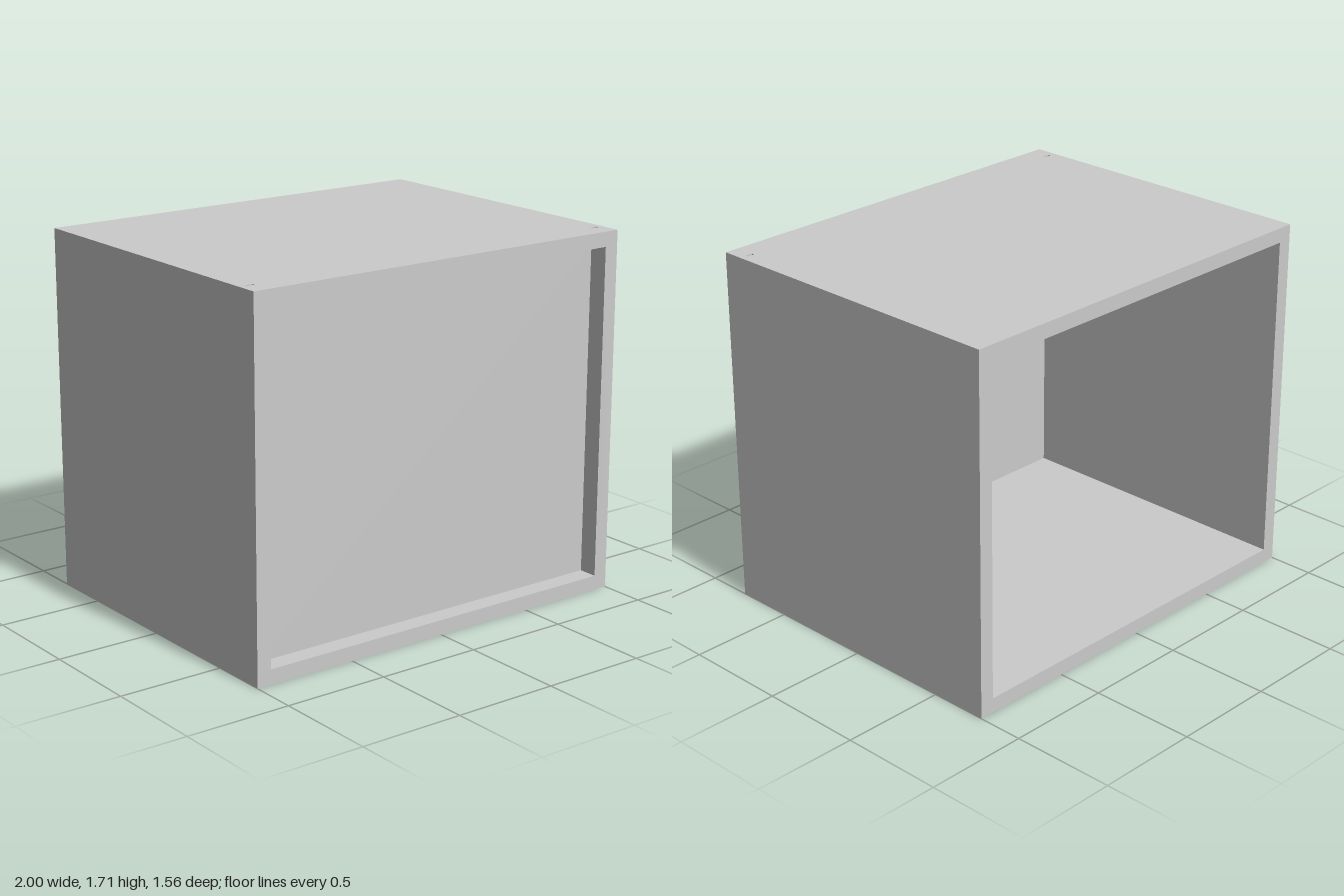
import * as THREE from 'three';

const W = 1, H = 1.71, D = 0.78;      // half width, height, half depth
const T = 0.07;                       // wall thickness
const IN = W - T;                     // inner half width
const GROOVE = 0.968;                 // outer end of the panel grooves
const Z0 = 0.671, Z1 = 0.687;         // back and front of the panel

export function createModel() {
  const group = new THREE.Group();
  const material = new THREE.MeshStandardMaterial({ color: 0xcccccc, flatShading: true });

  const add = (name, geometry) => {
    const mesh = new THREE.Mesh(geometry, material);
    mesh.name = name;
    group.add(mesh);
    return mesh;
  };

  // Axis-aligned slab given by its limits
  const slab = (name, x, y0, y1, z0, z1) => {
    const mesh = add(name, new THREE.BoxGeometry(2 * x, y1 - y0, z1 - z0));
    mesh.position.set(0, (y0 + y1) / 2, (z0 + z1) / 2);
  };

  // Floor and top of the open-backed case
  slab('floor', W, 0, T, -D, D);
  slab('top', IN, H - T, H, -D, D);

  // Side walls, each with a vertical groove that comes out through the top
  for (const [name, s] of [['leftWall', 1], ['rightWall', -1]]) {
    const plan = [
      [IN, -D], [W, -D], [W, D], [IN, D],
      [IN, Z1], [GROOVE, Z1], [GROOVE, Z0], [IN, Z0],
    ].map(([x, z]) => new THREE.Vector2(s * x, -z));
    const wall = new THREE.ExtrudeGeometry(new THREE.Shape(plan), { depth: H - T, bevelEnabled: false });
    wall.rotateX(-Math.PI / 2);
    wall.translate(0, T, 0);
    add(name, wall);
  }

  // Thin recessed panel closing the front
  slab('frontPanel', IN, T, H - T, Z0, Z1);

  return group;
}
